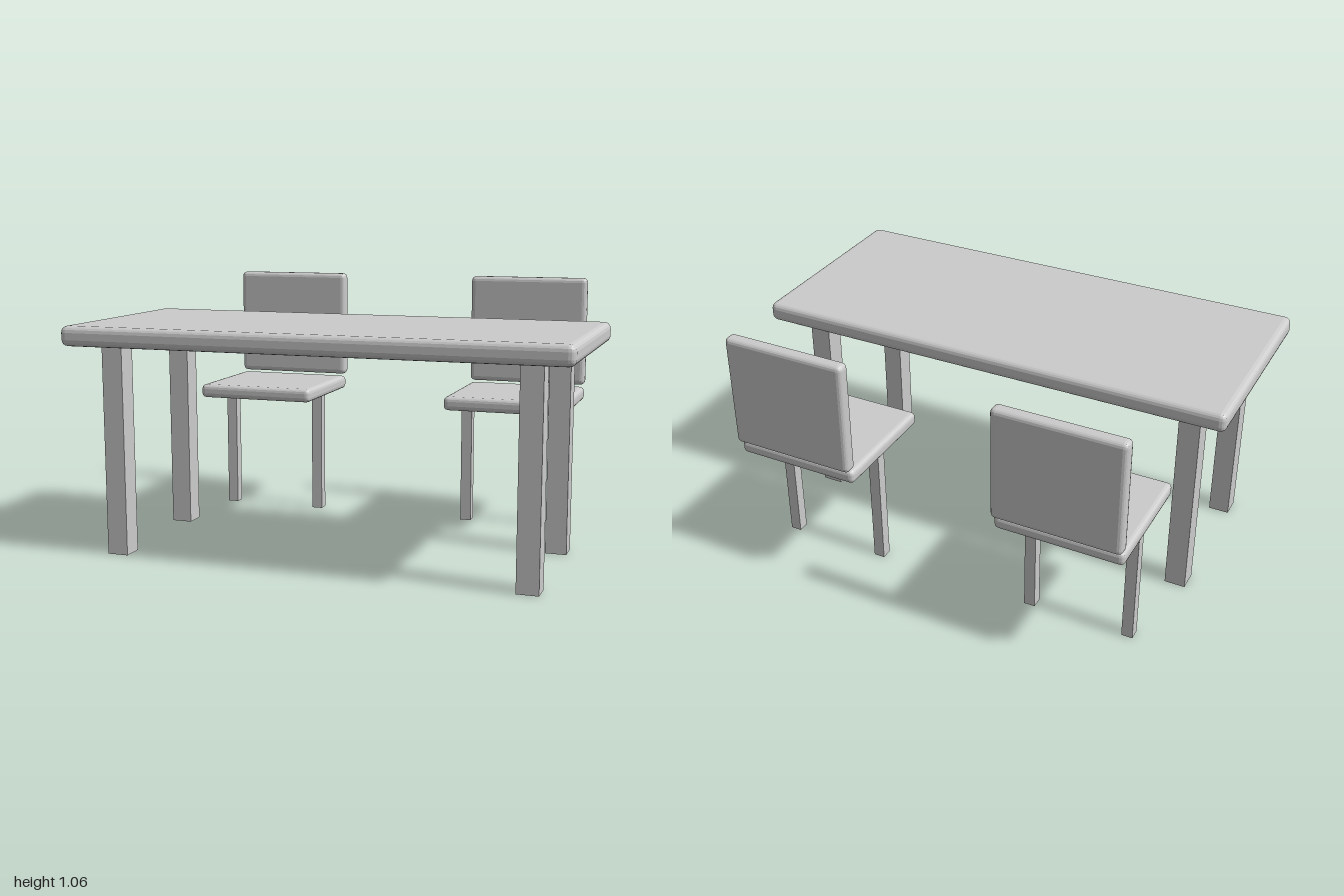
import * as THREE from 'three';
import { RoundedBoxGeometry } from 'three/addons/geometries/RoundedBoxGeometry.js';

const grey = new THREE.MeshStandardMaterial({ color: 0xcccccc, flatShading: true });
grey.name = 'plain grey';

// Adds a box given by its [min, max] extents; a radius softens its edges.
function addBox(parent, name, [x0, x1], [y0, y1], [z0, z1], radius = 0) {
  const size = [x1 - x0, y1 - y0, z1 - z0];
  const geometry = radius
    ? new RoundedBoxGeometry(...size, 2, radius)
    : new THREE.BoxGeometry(...size);
  const mesh = new THREE.Mesh(geometry, grey);
  mesh.name = name;
  mesh.position.set((x0 + x1) / 2, (y0 + y1) / 2, (z0 + z1) / 2);
  parent.add(mesh);
}

function createTable() {
  const table = new THREE.Group();
  table.name = 'table';
  addBox(table, 'tableTop', [-1, 1], [0.845, 0.925], [-0.17, 0.7], 0.026);
  // Four square legs
  for (const x of [-0.832, 0.832]) {
    for (const z of [-0.017, 0.552]) {
      addBox(table, 'tableLeg', [x - 0.043, x + 0.043], [0, 0.85], [z - 0.043, z + 0.043]);
    }
  }
  return table;
}

function createChair(name, x) {
  const chair = new THREE.Group();
  chair.name = name;
  chair.position.x = x;
  addBox(chair, 'seat', [-0.26, 0.26], [0.525, 0.584], [-0.67, -0.173], 0.02);
  // The backrest floats just above the rear of the seat
  addBox(chair, 'backrest', [-0.26, 0.26], [0.592, 1.064], [-0.7, -0.642], 0.02);
  // Two legs under the middle of the seat
  for (const lx of [-0.211, 0.211]) {
    addBox(chair, 'chairLeg', [lx - 0.023, lx + 0.023], [0, 0.53], [-0.443, -0.397]);
  }
  return chair;
}

export function createModel() {
  const model = new THREE.Group();
  model.name = 'tableWithChairs';
  model.add(createTable(), createChair('leftChair', 0.563), createChair('rightChair', -0.563));
  return model;
}
